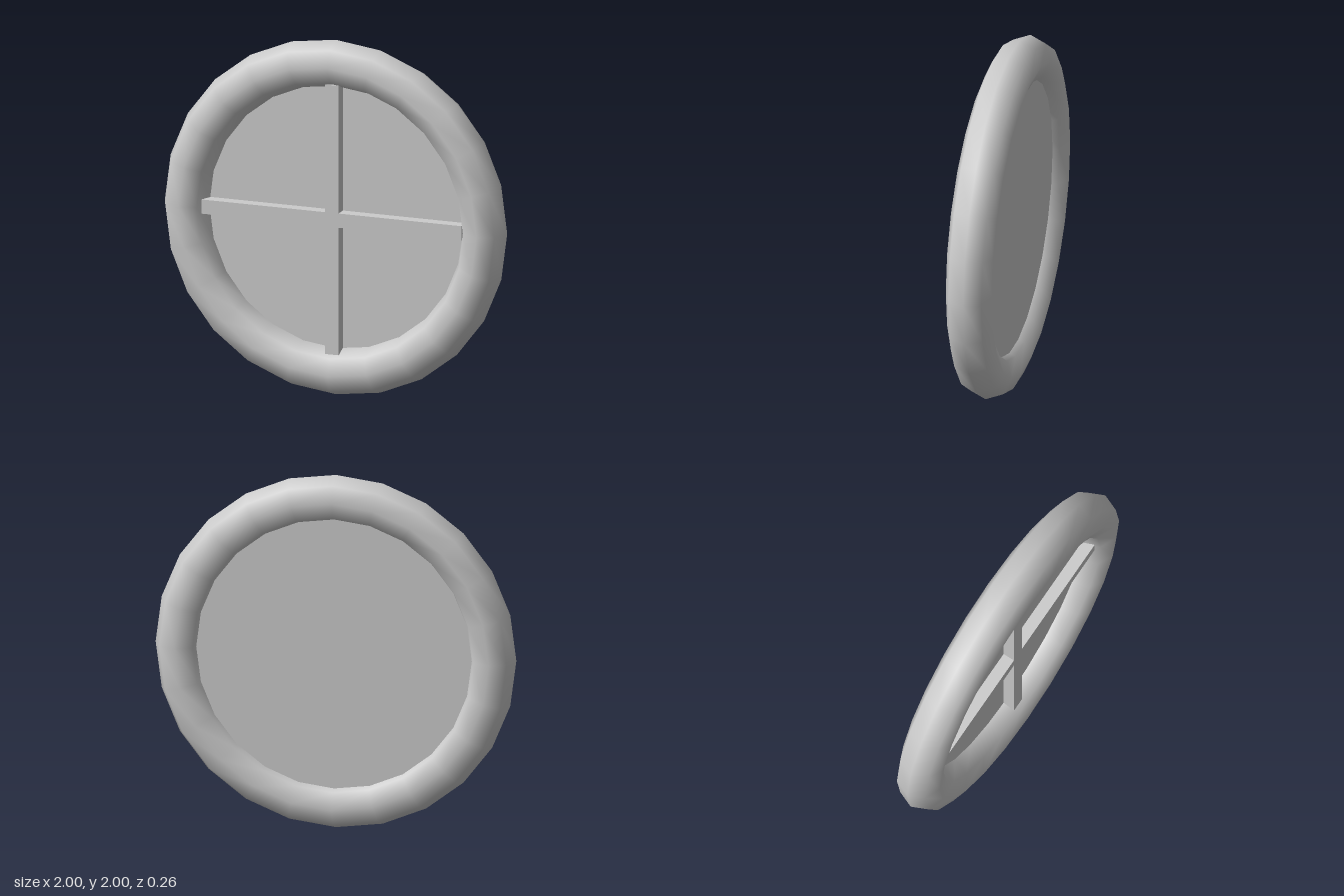
import * as THREE from 'three';

export function createModel() {
  const group = new THREE.Group();
  const grey = new THREE.MeshStandardMaterial({ color: 0xcccccc });
  grey.name = 'plain grey';

  const add = (name, geometry, z = 0) => {
    const mesh = new THREE.Mesh(geometry, grey);
    mesh.name = name;
    mesh.position.set(0, 1, z);
    group.add(mesh);
  };

  // Round frame: a smooth ring with an eight-sided section
  add('frame', new THREE.TorusGeometry(0.87, 0.13, 8, 24));

  // Pane filling the ring, its rim buried in the frame
  add('pane', new THREE.CylinderGeometry(0.8, 0.8, 0.055, 24).rotateX(Math.PI / 2), -0.03);

  // Crossed glazing bars on the front, one plus-shaped piece
  const a = 0.04, b = 0.76;
  const cross = new THREE.Shape([
    [a, a], [a, b], [-a, b], [-a, a], [-b, a], [-b, -a],
    [-a, -a], [-a, -b], [a, -b], [a, -a], [b, -a], [b, a],
  ].map(([x, y]) => new THREE.Vector2(x, y)));
  add('glazingBars', new THREE.ExtrudeGeometry(cross, { depth: 0.08, bevelEnabled: false }), -0.015);

  return group;
}
